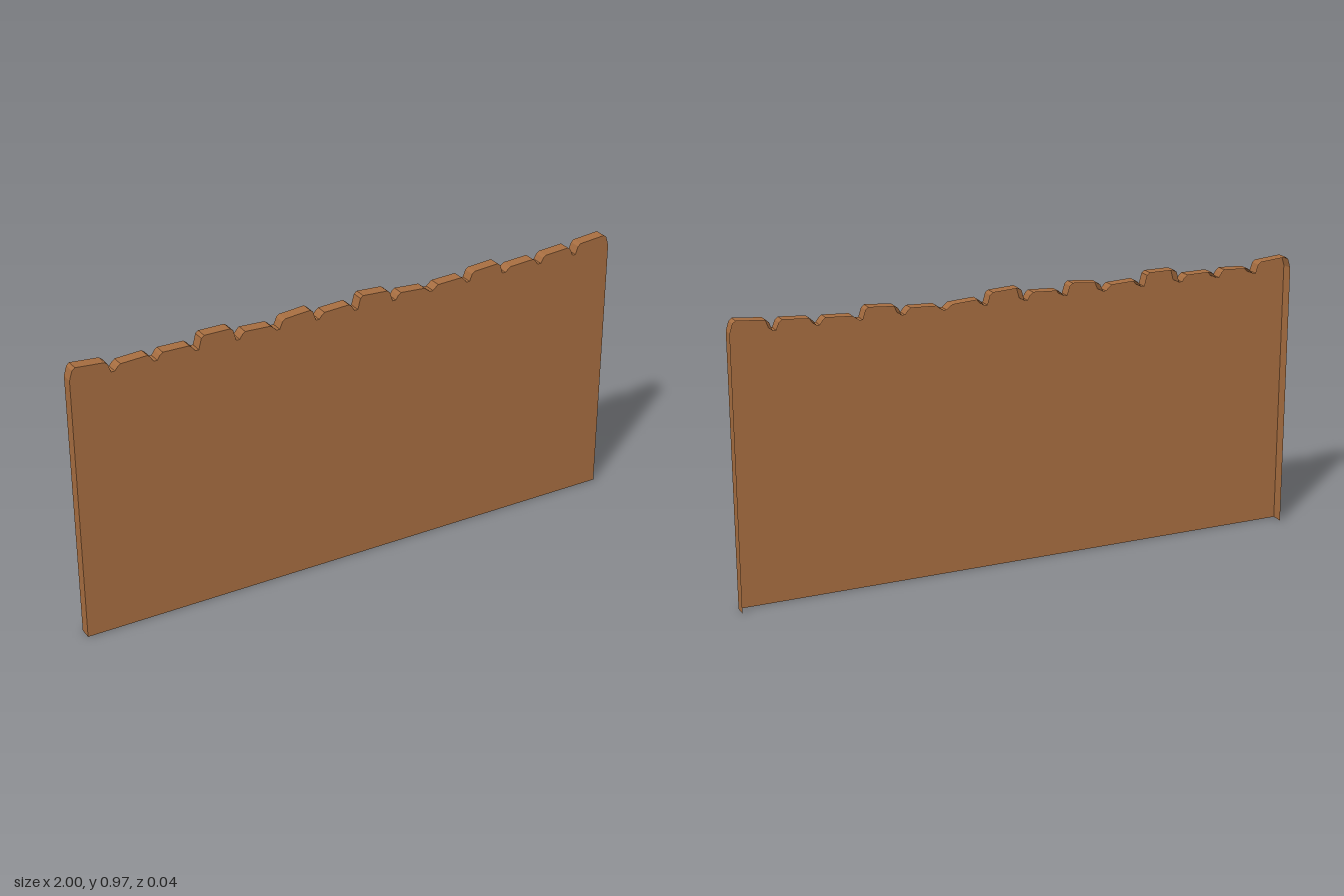
import * as THREE from 'three';

const HALF_DEPTH = 0.021;
const NOTCH_Y = 0.925;
const PLANK_W = 2 / 14;

// Left and right top height of each plank
const PLANK_TOPS = [
  [0.97, 0.962], [0.945, 0.95], [0.948, 0.947], [0.97, 0.97], [0.948, 0.944],
  [0.957, 0.965], [0.945, 0.95], [0.97, 0.965], [0.947, 0.941], [0.942, 0.946],
  [0.957, 0.964], [0.941, 0.947], [0.95, 0.957], [0.961, 0.97],
];

// Outline from bottom left, over the worn plank tops, to bottom right
function fenceOutline() {
  const pts = [[-1, 0]];
  PLANK_TOPS.forEach(([a, b], i) => {
    const l = -1 + i * PLANK_W;
    const r = l + PLANK_W;
    const inL = i === 0 ? 0 : 0.006;
    const inR = i === PLANK_TOPS.length - 1 ? 0 : 0.006;
    pts.push(
      [l + inL, inL ? NOTCH_Y : 0.93], [l + inL + 0.01, a - 0.008], [l + inL + 0.02, a],
      [r - inR - 0.02, b], [r - inR - 0.01, b - 0.008], [r - inR, inR ? NOTCH_Y : 0.93],
    );
  });
  pts.push([1, 0]);
  return pts.map(([x, y]) => new THREE.Vector2(x, y));
}

// Flat-faced band that runs back along the open outline
function rimGeometry(pts) {
  const pos = [];
  for (let i = 0; i < pts.length - 1; i++) {
    const p = pts[i], q = pts[i + 1], d = HALF_DEPTH;
    pos.push(
      p.x, p.y, d, q.x, q.y, d, q.x, q.y, -d,
      p.x, p.y, d, q.x, q.y, -d, p.x, p.y, -d,
    );
  }
  const geo = new THREE.BufferGeometry();
  geo.setAttribute('position', new THREE.Float32BufferAttribute(pos, 3));
  geo.computeVertexNormals();
  return geo;
}

export function createModel() {
  const group = new THREE.Group();
  group.name = 'plankFence';
  const wood = new THREE.MeshStandardMaterial({ color: 0xa66d40, side: THREE.DoubleSide });
  wood.name = 'brown wood';

  const outline = fenceOutline();

  // Front sheet; the back and underside are open
  const panel = new THREE.Mesh(new THREE.ShapeGeometry(new THREE.Shape(outline)), wood);
  panel.name = 'frontPanel';
  panel.position.z = HALF_DEPTH;

  // Plank tops and both end walls
  const rim = new THREE.Mesh(rimGeometry(outline), wood);
  rim.name = 'plankTopsAndEnds';

  group.add(panel, rim);
  return group;
}
